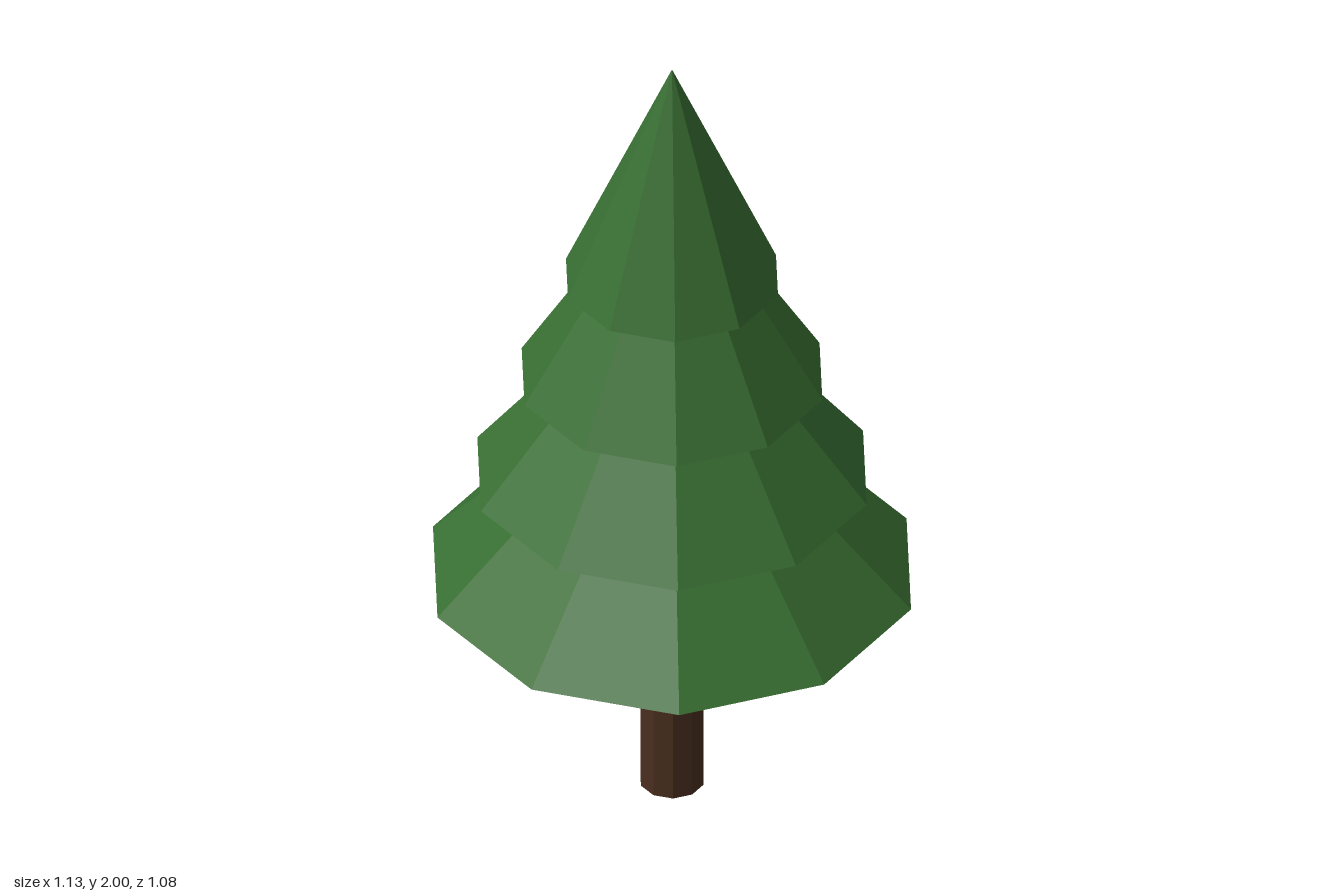
import * as THREE from 'three';

const SIDES = 10;

export function createModel() {
  const tree = new THREE.Group();
  tree.name = 'pineTree';

  const bark = new THREE.MeshStandardMaterial({ color: 0x4a2f1f, flatShading: true });
  const needles = new THREE.MeshStandardMaterial({ color: 0x386e32, flatShading: true });

  // Ten-sided solid standing on height y, with a corner on the x axis
  function addPart(name, geometry, height, y, material) {
    geometry.rotateY(Math.PI / 2);
    const mesh = new THREE.Mesh(geometry, material);
    mesh.name = name;
    mesh.position.y = y + height / 2;
    tree.add(mesh);
  }

  // Straight trunk, ending just inside the lowest tier
  const trunkHeight = 0.6;
  addPart('trunk', new THREE.CylinderGeometry(0.075, 0.075, trunkHeight, SIDES), trunkHeight, 0, bark);

  // Four overlapping cones of equal height, narrowing upwards
  const tierHeight = 0.585;
  for (let i = 0; i < 4; i++) {
    const radius = 0.566 - i * 0.105;
    const base = 0.595 + i * 0.2733;
    addPart(`foliageTier${i + 1}`, new THREE.ConeGeometry(radius, tierHeight, SIDES), tierHeight, base, needles);
  }

  return tree;
}
